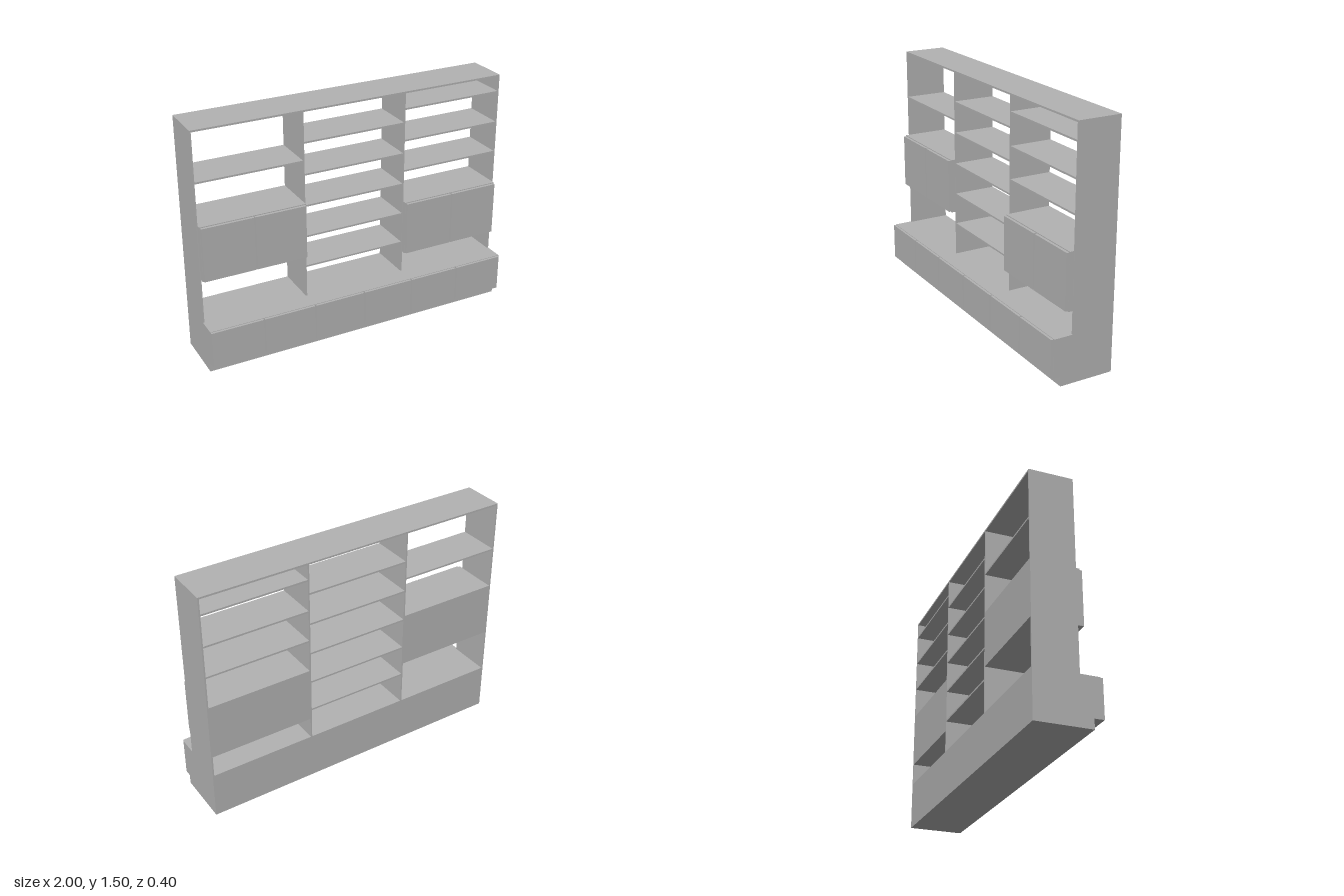
import * as THREE from 'three';

export function createModel() {
  const model = new THREE.Group();
  model.name = 'wallUnit';
  const grey = new THREE.MeshStandardMaterial({ color: 0xb2b2b2 });
  grey.name = 'plain grey';

  // Box given by its limits on each axis
  function panel(name, x0, x1, y0, y1, z0, z1, parent = model) {
    const mesh = new THREE.Mesh(new THREE.BoxGeometry(x1 - x0, y1 - y0, z1 - z0), grey);
    mesh.position.set((x0 + x1) / 2, (y0 + y1) / 2, (z0 + z1) / 2);
    mesh.name = name;
    parent.add(mesh);
  }

  const back = -0.2, front = 0.068, top = 1.495, baseTop = 0.297, t = 0.009;

  // Low base: recessed plinth, carcass and six doors
  panel('plinth', -1, 1, 0, 0.06, back, 0.14);
  panel('baseCabinet', -1, 1, 0.06, baseTop, back, 0.185);
  const doorEdges = [-0.998, -0.667, -0.333, 0, 0.333, 0.664, 0.992];
  for (let i = 0; i < 6; i++) {
    panel('baseDoor', doorEdges[i] + (i ? 0.004 : 0), doorEdges[i + 1] - (i < 5 ? 0.004 : 0),
      0.062, 0.294, 0.185, 0.2);
  }

  // Uprights and top board
  for (const x of [-1, -0.3365, 0.3275, 1 - t]) {
    panel('upright', x, x + t, baseTop, top - 0.011, back, front);
  }
  panel('topBoard', -1, 1, top - 0.011, top, back, front);

  // Open shelves in the three bays
  const bays = [
    { x0: -0.991, x1: -0.3365, heights: [1.185] },
    { x0: -0.3275, x1: 0.3275, heights: [0.5, 0.7, 0.9, 1.1, 1.298] },
    { x0: 0.3365, x1: 0.991, heights: [0.987, 1.185, 1.386] },
  ];
  for (const { x0, x1, heights } of bays) {
    for (const y of heights) panel('shelf', x0, x1, y - 0.0055, y + 0.0055, back, front);
  }

  // Hanging cabinets, standing proud of the uprights, with a pair of doors each
  function wallCabinet(name, x0, x1, y0, y1) {
    const group = new THREE.Group();
    group.name = name;
    const mid = (x0 + x1) / 2;
    panel('body', x0, x1, y0, y1, back, 0.093, group);
    panel('rightDoor', x0 + 0.005, mid - 0.004, y0 + 0.005, y1 - 0.005, 0.093, 0.11, group);
    panel('leftDoor', mid + 0.004, x1 - 0.005, y0 + 0.005, y1 - 0.005, 0.093, 0.11, group);
    model.add(group);
  }
  wallCabinet('upperRightCabinet', -0.991, -0.3365, 0.58, 0.927);
  wallCabinet('lowerLeftCabinet', 0.3365, 0.991, 0.434, 0.783);

  return model;
}
